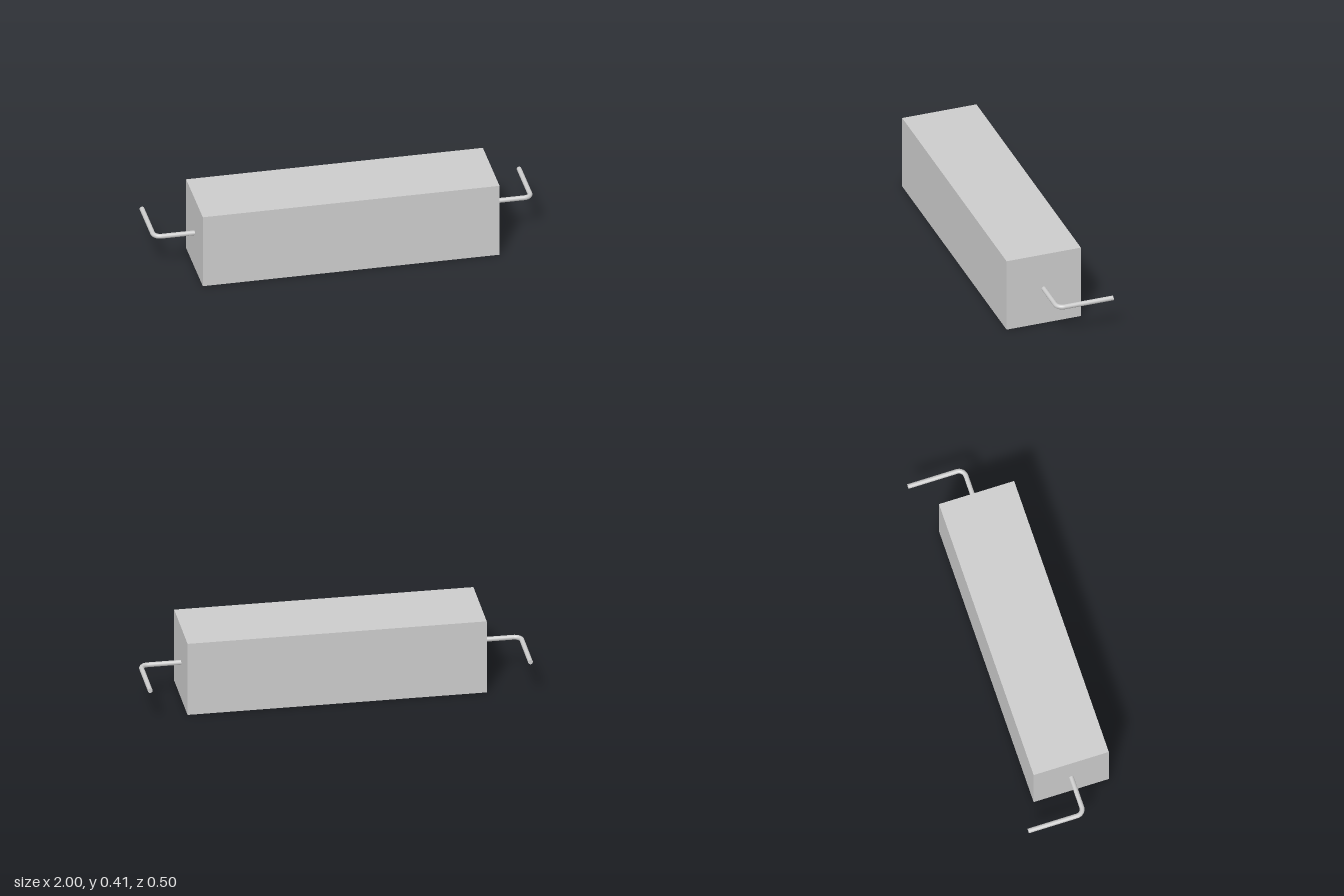
import * as THREE from 'three';

const material = new THREE.MeshStandardMaterial({ color: 0xcccccc });

const BODY = { length: 1.554, size: 0.405, z: 0.0495 };
const WIRE = { radius: 0.0125, outerX: 0.9875, endZ: -0.251, bend: 0.038 };
const SIDES = 24;

// Bent wire lead pointing to +x and then turning back to -z, centred on y = 0
function makeLead(name) {
  const lead = new THREE.Group();
  lead.name = name;
  const startX = BODY.length / 2 - 0.01; // slightly embedded in the body
  const bendX = WIRE.outerX - WIRE.bend;
  const bendZ = BODY.z - WIRE.bend;

  const add = (part, geometry) => {
    const mesh = new THREE.Mesh(geometry, material);
    mesh.name = part;
    lead.add(mesh);
    return mesh;
  };
  const rod = (length) => new THREE.CylinderGeometry(WIRE.radius, WIRE.radius, length, SIDES);

  // straight piece leaving the body
  const stem = add('leadStem', rod(bendX - startX).rotateZ(Math.PI / 2));
  stem.position.set((startX + bendX) / 2, 0, BODY.z);

  // quarter-turn elbow
  const elbow = add('leadElbow',
    new THREE.TorusGeometry(WIRE.bend, WIRE.radius, SIDES, 16, Math.PI / 2).rotateX(Math.PI / 2));
  elbow.position.set(bendX, 0, bendZ);

  // straight pin running backwards
  const pin = add('leadPin', rod(bendZ - WIRE.endZ).rotateX(Math.PI / 2));
  pin.position.set(WIRE.outerX, 0, (bendZ + WIRE.endZ) / 2);
  return lead;
}

export function createModel() {
  const model = new THREE.Group();
  model.name = 'resistor';

  // square block body
  const body = new THREE.Mesh(new THREE.BoxGeometry(BODY.length, BODY.size, BODY.size), material);
  body.name = 'body';
  body.position.set(0, BODY.size / 2, BODY.z);
  model.add(body);

  // one lead per end; a half turn about z swaps the side
  ['leftLead', 'rightLead'].forEach((name, i) => {
    const lead = makeLead(name);
    lead.position.y = BODY.size / 2;
    lead.rotation.z = i * Math.PI;
    model.add(lead);
  });
  return model;
}
